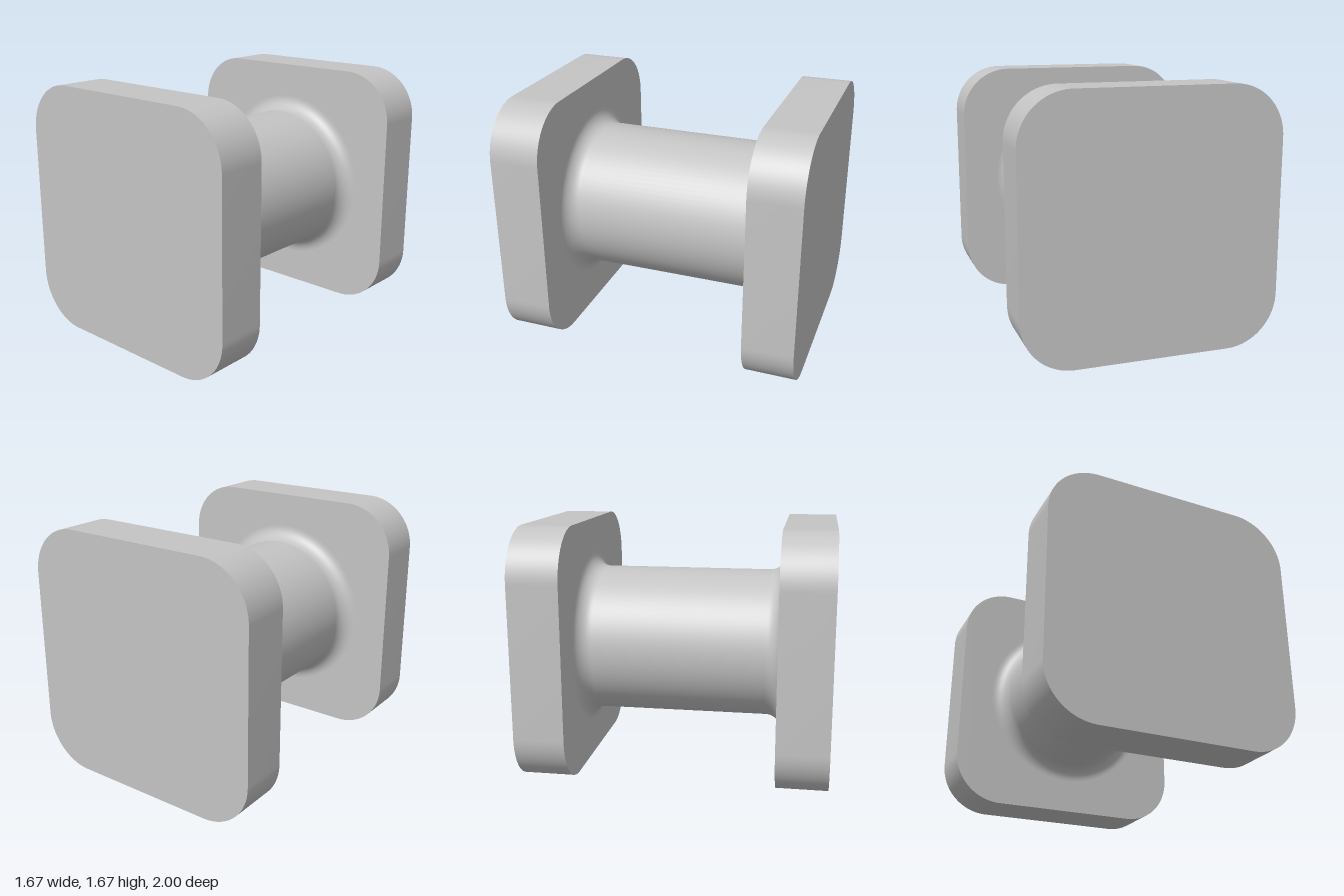
import * as THREE from 'three';
import { toCreasedNormals } from 'three/addons/utils/BufferGeometryUtils.js';

const HALF = 0.8333;      // half width of the square flanges
const CORNER = 0.3333;    // flange corner radius
const THICK = 0.3333;     // flange thickness
const SHAFT = 0.5;        // shaft radius
const FILLET = 0.1;       // blend radius between shaft and flange
const INNER = 1 - THICK;  // z of the flange inner face

// Square with rounded corners, centred on the origin
function roundedSquare(h, r) {
  const s = new THREE.Shape();
  const c = h - r;
  s.absarc(c, c, r, 0, Math.PI / 2);
  s.absarc(-c, c, r, Math.PI / 2, Math.PI);
  s.absarc(-c, -c, r, Math.PI, Math.PI * 1.5);
  s.absarc(c, -c, r, Math.PI * 1.5, Math.PI * 2);
  s.closePath();
  return s;
}

// Shaft profile: a straight wall that flares with a quarter arc at each end
function shaftProfile() {
  const steps = 12;
  const upper = [];
  for (let i = 0; i <= steps; i++) {
    const a = (i / steps) * Math.PI / 2;
    upper.push(new THREE.Vector2(
      SHAFT + FILLET * (1 - Math.cos(a)),
      INNER - FILLET * (1 - Math.sin(a))
    ));
  }
  const lower = upper.map((p) => new THREE.Vector2(p.x, -p.y)).reverse();
  return [...lower, ...upper];
}

export function createModel() {
  const model = new THREE.Group();
  model.name = 'flangedSpool';
  const grey = new THREE.MeshStandardMaterial({ color: 0xc4c4c4 });
  grey.name = 'plain grey';

  // Front and back flanges
  const flangeGeometry = toCreasedNormals(
    new THREE.ExtrudeGeometry(roundedSquare(HALF, CORNER), {
      depth: THICK, bevelEnabled: false, curveSegments: 20,
    }), 0.5);
  for (const [name, z] of [['frontFlange', INNER], ['backFlange', -1]]) {
    const flange = new THREE.Mesh(flangeGeometry, grey);
    flange.name = name;
    flange.position.set(0, HALF, z);
    model.add(flange);
  }

  // Round shaft with filleted ends, laid along z
  const shaft = new THREE.Mesh(new THREE.LatheGeometry(shaftProfile(), 96), grey);
  shaft.name = 'shaft';
  shaft.rotation.x = Math.PI / 2;
  shaft.position.y = HALF;
  model.add(shaft);

  return model;
}
